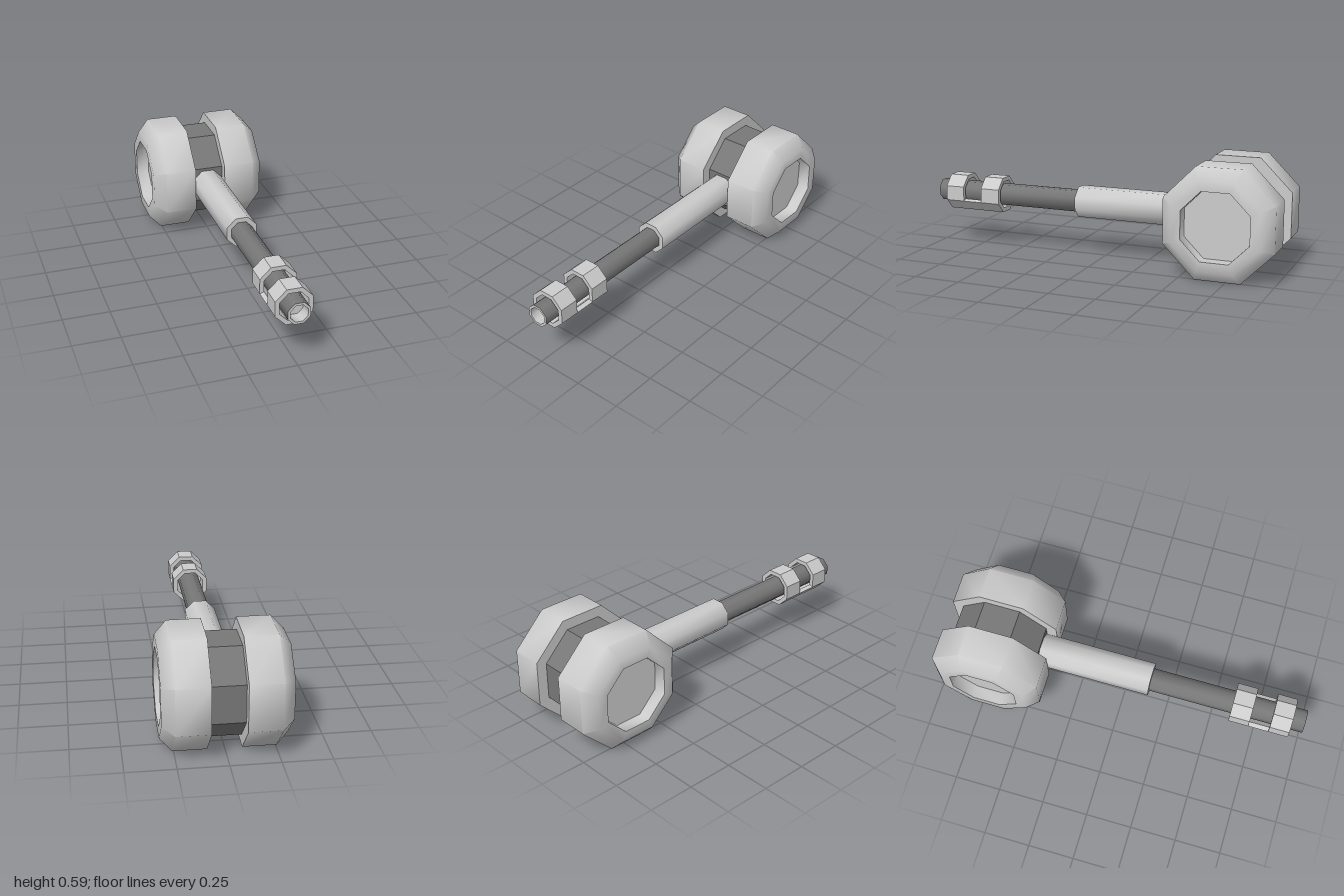
import * as THREE from 'three';
import { toCreasedNormals } from 'three/addons/utils/BufferGeometryUtils.js';

const light = new THREE.MeshStandardMaterial({ color: 0xcccccc });
const dark = new THREE.MeshStandardMaterial({ color: 0x777777 });
const CY = 0.293, HEAD_Z = -0.707;
const CORNER = 1 / Math.cos(Math.PI / 8); // flat radius to corner radius

// Octagonal lathe; profile is [flat radius, distance along axis], crease in radians
function octLathe(profile, crease) {
  const pts = profile.map(([r, t]) => new THREE.Vector2(r * CORNER, t));
  return toCreasedNormals(new THREE.LatheGeometry(pts, 8, Math.PI / 8), crease);
}

function add(group, name, geometry, material) {
  const mesh = new THREE.Mesh(geometry, material);
  mesh.name = name;
  group.add(mesh);
  return mesh;
}

const SMOOTH = 0.9, FLAT = 0.3;

export function createModel() {
  const model = new THREE.Group();
  model.name = 'hammer';

  // Head: two bevelled lobes with recessed ends, joined by a dark core
  const head = new THREE.Group();
  head.name = 'head';
  head.position.set(0, CY, HEAD_Z);
  model.add(head);
  const lobe = [[0, 0.086], [0.293, 0.086], [0.293, 0.256], [0.233, 0.317],
    [0.18, 0.317], [0.18, 0.247], [0, 0.247]];
  for (const [name, side] of [['leftLobe', 1], ['rightLobe', -1]]) {
    add(head, name, octLathe(lobe, SMOOTH).rotateZ(-side * Math.PI / 2), light);
  }
  const core = [[0.237, -0.1], [0.237, 0.1]];
  add(head, 'headCore', octLathe(core, FLAT).rotateZ(-Math.PI / 2), dark);

  // Handle: everything is turned around the z axis
  const handle = new THREE.Group();
  handle.name = 'handle';
  handle.position.y = CY;
  model.add(handle);
  const turned = (name, profile, crease, material) =>
    add(handle, name, octLathe(profile, crease).rotateX(Math.PI / 2), material);

  turned('sleeve', [[0, -0.5], [0.082, -0.5], [0.082, 0.15], [0, 0.15]], SMOOTH, light);
  turned('gripRod', [[0.057, 0.14], [0.057, 1]], SMOOTH, dark);
  turned('hollowTip', [[0.057, 1], [0.044, 1], [0.044, 0.93], [0, 0.93]], SMOOTH, light);

  // Pommel: two loose rings joined underneath by a trough
  const outer = 0.097, inner = 0.074;
  for (const [name, z0, z1] of [['rearRing', 0.605, 0.715], ['frontRing', 0.825, 0.932]]) {
    turned(name, [[inner, z0], [outer, z0], [outer, z1], [inner, z1], [inner, z0]], FLAT, light);
  }
  const corner = (r, i) => {
    const a = -Math.PI / 8 - i * Math.PI / 4;
    return new THREE.Vector2(Math.cos(a) * r * CORNER, Math.sin(a) * r * CORNER);
  };
  const trough = new THREE.Shape([
    ...[0, 1, 2, 3].map((i) => corner(outer, i)),
    ...[3, 2, 1, 0].map((i) => corner(inner, i)),
  ]);
  add(handle, 'pommelTrough',
    new THREE.ExtrudeGeometry(trough, { depth: 0.11, bevelEnabled: false }).translate(0, 0, 0.715), light);

  return model;
}
